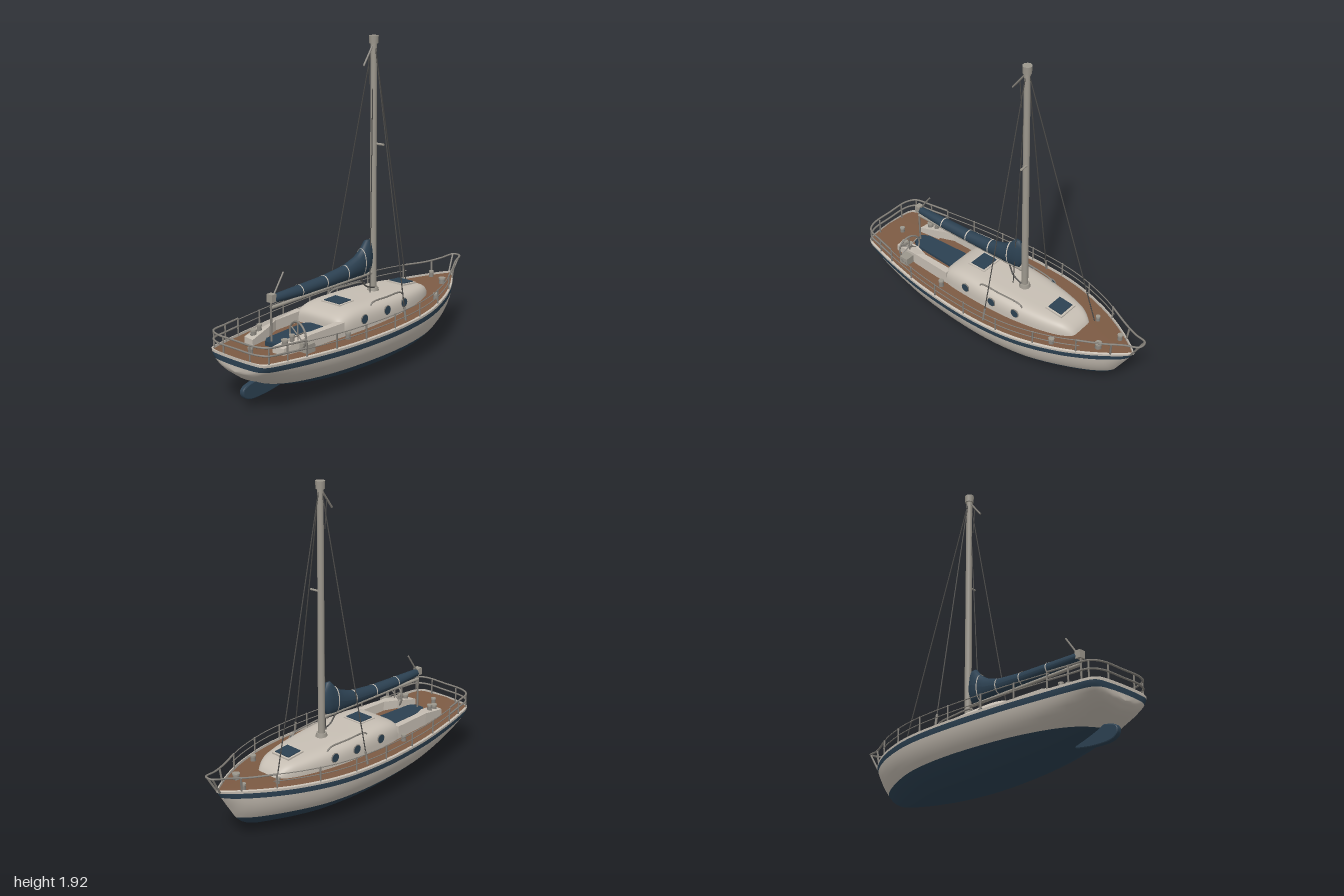
import * as THREE from 'three';
import { toCreasedNormals } from 'three/addons/utils/BufferGeometryUtils.js';

const mat = (name, color, side = THREE.FrontSide) => {
  const m = new THREE.MeshStandardMaterial({ color, side });
  m.name = name;
  return m;
};
const V = (x, y, z) => new THREE.Vector3(x, y, z);

export function createModel() {
  const boat = new THREE.Group();
  boat.name = 'sailboat';
  const cream = mat('cream paint', 0xc6beb3, THREE.DoubleSide);
  const navy = mat('navy', 0x2c4152, THREE.DoubleSide);
  const teak = mat('teak deck', 0x7d5b44, THREE.DoubleSide);
  const spar = mat('spar grey', 0x9c978d);
  const steel = mat('steel', 0x85817a);
  const rope = mat('rigging', 0x4c4b49);

  const add = (name, geo, material, x = 0, y = 0, z = 0) => {
    const m = new THREE.Mesh(geo, material);
    m.name = name;
    m.position.set(x, y, z);
    boat.add(m);
    return m;
  };
  const rod = (name, a, b, r, material, sides = 6) => {
    const m = add(name, new THREE.CylinderGeometry(r, r, a.distanceTo(b), sides), material);
    m.position.copy(a).lerp(b, 0.5);
    m.quaternion.setFromUnitVectors(V(0, 1, 0), b.clone().sub(a).normalize());
    return m;
  };
  const tube = (name, pts, r, material, n = 48) =>
    add(name, new THREE.TubeGeometry(new THREE.CatmullRomCurve3(pts), n, r, 6), material);

  // Skin between cross-sections; strip k gets material index bandOf(k)
  const loft = (sections, bandOf = () => 0) => {
    const n = sections[0].length, index = [], g = new THREE.BufferGeometry();
    g.setFromPoints(sections.flat());
    for (let k = 0; k < n - 1; k++) {
      const start = index.length;
      for (let i = 0; i < sections.length - 1; i++) {
        const a = i * n + k, b = a + n;
        index.push(a, a + 1, b, b, a + 1, b + 1);
      }
      g.addGroup(start, index.length - start, bandOf(k));
    }
    g.setIndex(index);
    g.computeVertexNormals();
    return g;
  };

  // Hull lines: x, keel height, half beam
  const sheer = x => 0.302 + 0.033 * (x + 0.2) ** 2;
  const lines = new THREE.CatmullRomCurve3([
    V(-1, 0.245, 0), V(-0.997, 0.24, 0.1), V(-0.985, 0.225, 0.185), V(-0.96, 0.2, 0.212),
    V(-0.85, 0.14, 0.243), V(-0.65, 0.075, 0.283), V(-0.4, 0.03, 0.32), V(0, 0.002, 0.34),
    V(0.3, 0.008, 0.313), V(0.55, 0.028, 0.238), V(0.7, 0.06, 0.168), V(0.79, 0.115, 0.115),
    V(0.86, 0.215, 0.068), V(0.9, 0.28, 0.038), V(0.94, 0.344, 0)
  ]).getPoints(112);
  const beam = x => {
    const i = Math.max(1, lines.findIndex(p => p.x >= x));
    const a = lines[i - 1], b = lines[i];
    return THREE.MathUtils.mapLinear(x, a.x, b.x, a.z, b.z);
  };

  // Hull: antifouling, topsides, stripe and upper strake
  const strips = [[8, 0], [5, 1], [2, 2], [1, 1]];
  const halfBands = strips.flatMap(([count, id]) => Array(count).fill(id));
  const hullSections = lines.map(({ x, y: keel, z: half }) => {
    const top = sheer(x), limits = [keel, 0.137, top - 0.046, top - 0.014, top];
    const power = 0.55 + 0.35 * THREE.MathUtils.smoothstep(x, 0.3, 0.9);
    const side = [V(x, keel, 0)];
    strips.forEach(([count], s) => {
      const lo = Math.max(keel, limits[s]), hi = Math.max(keel, limits[s + 1]);
      for (let j = 1; j <= count; j++) {
        const f = j / count, y = lo + (hi - lo) * (s ? f : f * f);
        const t = THREE.MathUtils.clamp((y - keel) / Math.max(top - keel, 1e-4), 0, 1);
        side.push(V(x, y, half * (1 - (1 - t) ** 2) ** power));
      }
    });
    const other = side.slice(1).map(p => V(p.x, p.y, -p.z));
    return [...side.reverse(), ...other];
  });
  const bands = [...halfBands].reverse().concat(halfBands);
  add('hull', loft(hullSections, k => bands[k]), [navy, cream, navy]);

  // Deck with a raised toe rail
  const deckSections = lines.map(({ x, z }) => {
    const y = sheer(x), inner = Math.max(0, z - 0.012);
    return [[-z, 0], [-inner, 0.004], [-inner, -0.01], [0, -0.004], [inner, -0.01], [inner, 0.004], [z, 0]]
      .map(([w, h]) => V(x, y + h, w));
  });
  add('deckAndToeRail', toCreasedNormals(loft(deckSections, k => (k === 2 || k === 3 ? 1 : 0)), 0.6), [cream, teak]);

  // Rudder
  const blade = new THREE.Shape();
  blade.moveTo(-0.68, 0.1);
  blade.splineThru([[-0.76, 0.15], [-0.87, 0.147], [-0.94, 0.125], [-0.94, 0.085], [-0.89, 0.062], [-0.78, 0.062], [-0.68, 0.075]]
    .map(p => new THREE.Vector2(...p)));
  add('rudder', new THREE.ExtrudeGeometry(blade, { depth: 0.016, bevelSize: 0.006, bevelThickness: 0.008, bevelSegments: 2 }), navy, 0, 0, -0.008);

  // Cabin trunk: x, top height, half width
  const trunk = new THREE.CatmullRomCurve3([
    V(-0.36, 0.292, 0.17), V(-0.35, 0.385, 0.178), V(-0.27, 0.42, 0.19), V(0, 0.42, 0.196), V(0.2, 0.41, 0.185),
    V(0.4, 0.395, 0.152), V(0.5, 0.38, 0.122), V(0.555, 0.345, 0.09), V(0.585, 0.292, 0.06)
  ]).getPoints(64);
  add('cabin', loft(trunk.map(({ x, y, z }) => Array.from({ length: 29 }, (_, k) => {
    const a = Math.PI * k / 28, c = Math.cos(a);
    return V(x, 0.29 + (y - 0.29) * Math.abs(Math.sin(a)) ** 0.6, -z * Math.sign(c) * Math.abs(c) ** 0.38);
  }))), cream);

  // Hatches on the cabin roof
  for (const [x, y, w, d, tilt] of [[-0.18, 0.422, 0.1, 0.12, 0], [0.41, 0.395, 0.095, 0.11, -0.1]]) {
    add('hatchFrame', new THREE.BoxGeometry(w + 0.025, 0.016, d + 0.025), cream, x, y, 0).rotation.z = tilt;
    add('hatchPane', new THREE.BoxGeometry(w, 0.008, d), navy, x, y + 0.009, 0).rotation.z = tilt;
  }

  // Cockpit: teak sole, navy cushion, aft seat
  add('cockpitSole', new THREE.BoxGeometry(0.3, 0.03, 0.27), teak, -0.49, 0.302, 0);
  const pad = new THREE.Shape([[-0.74, -0.03], [-0.7, -0.06], [-0.4, -0.075], [-0.36, -0.05], [-0.36, 0.05], [-0.4, 0.075], [-0.7, 0.06], [-0.74, 0.03]]
    .map(p => new THREE.Vector2(...p)));
  add('cockpitCushion', new THREE.ExtrudeGeometry(pad, { depth: 0.035, bevelEnabled: false }).rotateX(-Math.PI / 2), navy, 0, 0.298, 0);

  for (const s of [1, -1]) {
    // Cockpit coaming, sloping down aft
    const arm = new THREE.Shape([[-0.79, 0.075], [-0.78, 0.15], [-0.6, 0.172], [-0.33, 0.184], [-0.33, 0.14], [-0.55, 0.135], [-0.64, 0.1]]
      .map(([x, z]) => new THREE.Vector2(x, s * z)));
    const g = new THREE.ExtrudeGeometry(arm, { depth: 0.085, bevelEnabled: false }).rotateX(-Math.PI / 2);
    const p = g.attributes.position;
    for (let i = 0; i < p.count; i++)
      if (p.getY(i) > 0.04) p.setY(i, 0.05 + 0.035 * THREE.MathUtils.smoothstep(p.getX(i), -0.8, -0.58));
    g.computeVertexNormals();
    add('coaming', g, cream, 0, 0.292, 0);

    // Portholes
    for (const [x, z] of [[-0.165, 0.192], [0.04, 0.192], [0.21, 0.181]]) {
      add('porthole', new THREE.CylinderGeometry(0.026, 0.026, 0.009, 10).rotateX(Math.PI / 2), navy, x, 0.355, s * z);
      add('portholeRim', new THREE.TorusGeometry(0.026, 0.004, 6, 16), steel, x, 0.355, s * z);
    }
    // Cabin grab rail
    tube('grabRail', [V(-0.08, 0.395, s * 0.16), V(-0.06, 0.418, s * 0.16), V(0.08, 0.42, s * 0.158), V(0.22, 0.41, s * 0.148), V(0.24, 0.39, s * 0.146)], 0.005, steel);

    // Lifelines and stanchions
    const edge = (x, h) => V(x, sheer(x) + h, s * (beam(x) - 0.008));
    for (const h of [0.045, 0.086])
      tube('lifeline', Array.from({ length: 15 }, (_, i) => edge(-0.72 + i * 0.1, h)), 0.003, steel, 60);
    for (const x of [-0.95, -0.84, -0.72, -0.52, -0.3, -0.06, 0.18, 0.42, 0.66])
      rod('stanchion', edge(x, -0.01), edge(x, 0.09), 0.005, steel);
    // Pulpit legs
    rod('pulpitLeg', V(0.925, 0.335, s * 0.012), V(0.985, 0.442, s * 0.026), 0.006, steel);
    rod('pulpitLeg', edge(0.83, -0.01), V(0.84, 0.42, s * 0.09), 0.006, steel);
    // Side shrouds with turnbuckles
    rod('shroud', V(0.14, 1.88, s * 0.01), V(0.07, 0.31, s * 0.305), 0.0035, rope);
    rod('turnbuckle', V(0.0735, 0.388, s * 0.29), V(0.07, 0.31, s * 0.305), 0.007, steel);
    rod('sternRailPost', V(-0.982, 0.31, s * 0.1), V(-0.982, 0.412, s * 0.1), 0.005, steel);
  }
  // Stern and bow rails
  for (const h of [0.048, 0.093])
    tube('sternRail', [-0.72, -0.84, -0.95].map(x => V(x, sheer(x) + h, beam(x) - 0.008))
      .concat([V(-0.985, 0.322 + h, 0.15), V(-0.99, 0.322 + h, 0), V(-0.985, 0.322 + h, -0.15)],
        [-0.95, -0.84, -0.72].map(x => V(x, sheer(x) + h, 0.008 - beam(x)))), 0.006, steel, 70);
  const pulpit = [V(0.66, 0.412, 0.18), V(0.8, 0.416, 0.108), V(0.9, 0.43, 0.058), V(0.985, 0.443, 0.028)];
  tube('bowRail', [...pulpit, V(0.994, 0.444, 0), ...pulpit.map(p => V(p.x, p.y, -p.z)).reverse()], 0.006, steel, 70);

  // Winches, bollards and cleats
  for (const [x, y, z, r] of [[-0.74, 0.345, 0.12, 0.02], [-0.74, 0.345, -0.12, 0.02], [-0.69, 0.36, 0.125, 0.016], [-0.69, 0.36, -0.125, 0.016],
    [-0.34, 0.3, 0.22, 0.017], [-0.34, 0.3, -0.22, 0.017], [-0.88, 0.31, 0, 0.016], [0.5, 0.31, 0.2, 0.018],
    [0.74, 0.325, 0.07, 0.022], [0.8, 0.33, -0.06, 0.016], [0.6, 0.315, -0.12, 0.014]]) {
    add('winch', new THREE.CylinderGeometry(r * 0.75, r, 0.035, 12), steel, x, y + 0.01, z);
    add('winchCap', new THREE.CylinderGeometry(r, r, 0.01, 12), spar, x, y + 0.03, z);
  }

  // Steering wheel and pedestal
  add('pedestal', new THREE.BoxGeometry(0.06, 0.05, 0.06), spar, -0.65, 0.33, 0.2);
  const wheel = new THREE.Group();
  wheel.name = 'steeringWheel';
  wheel.add(new THREE.Mesh(new THREE.TorusGeometry(0.075, 0.006, 8, 32), steel));
  for (let i = 0; i < 3; i++) {
    const spoke = new THREE.Mesh(new THREE.CylinderGeometry(0.004, 0.004, 0.15, 6), steel);
    spoke.rotation.z = i * Math.PI / 3;
    wheel.add(spoke);
  }
  wheel.position.set(-0.67, 0.39, 0.15);
  wheel.rotation.y = Math.PI / 2 - 0.2;
  boat.add(wheel);

  // Mast
  add('mast', new THREE.CylinderGeometry(0.018, 0.021, 1.49, 16), spar, 0.14, 1.145, 0);
  add('mastFoot', new THREE.CylinderGeometry(0.03, 0.037, 0.025, 16), spar, 0.14, 0.422, 0);
  add('mastCap', new THREE.CylinderGeometry(0.028, 0.026, 0.045, 10), spar, 0.14, 1.902, 0);
  rod('mastBracket', V(0.15, 1.3, 0), V(0.155, 1.3, 0.065), 0.007, spar);
  rod('halyardArm', V(0.13, 1.87, 0), V(0.045, 1.76, 0.005), 0.006, steel);
  rod('halyard', V(0.09, 1.82, 0), V(0.105, 1.65, 0), 0.003, rope);
  rod('aftStay', V(0.135, 1.87, 0), V(0.075, 0.42, 0.03), 0.003, rope);
  rod('forestay', V(0.15, 1.88, 0), V(0.59, 0.32, -0.1), 0.0035, rope);

  // Boom and its crutch
  rod('boom', V(-0.72, 0.525, 0), V(0.13, 0.525, 0), 0.01, spar, 10);
  add('boomEnd', new THREE.BoxGeometry(0.035, 0.045, 0.04), spar, -0.715, 0.58, 0);
  rod('boomCrutch', V(-0.72, 0.32, 0), V(-0.72, 0.57, 0), 0.006, steel);
  rod('boomStick', V(-0.7, 0.59, 0), V(-0.62, 0.705, 0), 0.005, steel);
  tube('mainsheet', [V(0.02, 0.52, 0), V(0.06, 0.46, 0.01), V(0.13, 0.435, 0.02)], 0.005, rope, 16);

  // Furled sail cover: centre line height, half height, half width
  const cover = [[-0.71, 0.572, 0.002, 0.002], [-0.7, 0.572, 0.024, 0.022], [-0.5, 0.568, 0.032, 0.034], [-0.3, 0.57, 0.036, 0.036],
    [-0.12, 0.578, 0.046, 0.038], [-0.02, 0.594, 0.062, 0.038], [0.03, 0.61, 0.08, 0.038], [0.07, 0.634, 0.103, 0.036],
    [0.1, 0.637, 0.1, 0.03], [0.12, 0.63, 0.05, 0.015], [0.122, 0.63, 0.002, 0.002]];
  const ring = ([x, y, h, w], n = 24) => Array.from({ length: n + 1 }, (_, k) => {
    const a = 2 * Math.PI * k / n;
    return V(x, y + h * Math.sin(a), -w * Math.cos(a));
  });
  add('sailCover', loft(cover.map(c => ring(c))), navy);
  for (const [x, y, h, w] of [cover[2], cover[3], cover[4], cover[6]])
    add('sailTie', loft([ring([x - 0.004, y, h + 0.003, w + 0.003]), ring([x + 0.004, y, h + 0.003, w + 0.003])]), cream);

  return boat;
}
